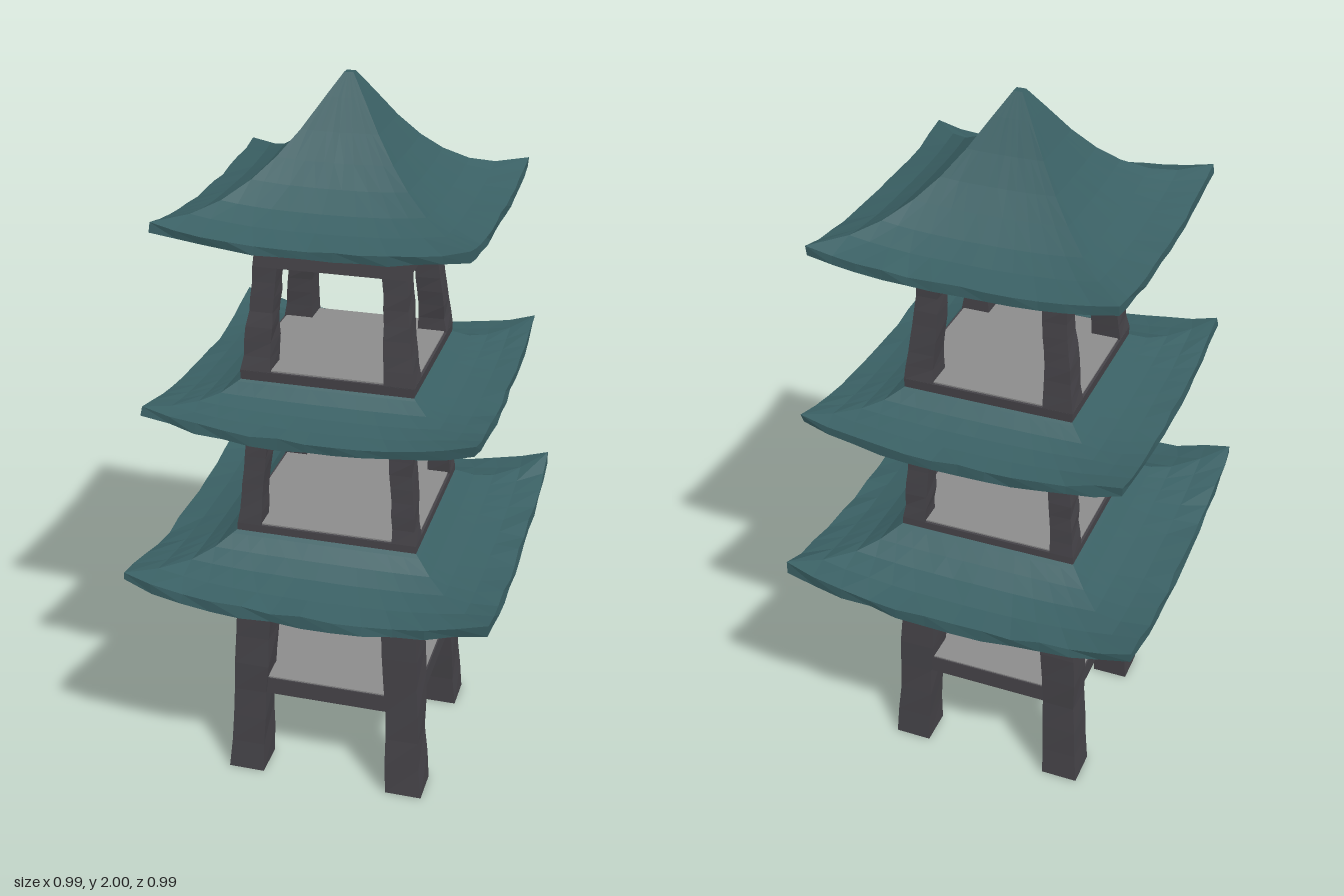
import * as THREE from 'three';

// repeatable noise in -1..1 from a position
function noise(x, y, z) {
  const s = Math.sin(Math.round(x * 997) * 12.9898 + Math.round(y * 991) * 78.233 + Math.round(z * 983) * 37.719) * 43758.5453;
  return (s - Math.floor(s)) * 2 - 1;
}

const turn = [
  (x, z) => [x, z],
  (x, z) => [z, -x],
  (x, z) => [-x, -z],
  (x, z) => [-z, x],
];

// Square roof shell from a profile of [half width, height], corners swept upward
function roofGeometry(profile, lift, thickness, rough) {
  const outer = profile[profile.length - 1][0];
  const inner = profile[0][0];
  const under = profile.filter(p => p[0] > 0.1).map(([h, y]) => [h, y - thickness]).reverse();
  const rings = [...profile, ...under];
  const N = 12;
  const point = ([h, y], t, k) => {
    const r = Math.max(0, (h - inner) / (outer - inner));
    const [x, z] = turn[k](t * h, h);
    const eave = r > 0.99 ? rough : rough * 0.25 * r;
    const n = noise(x, y, z) * eave;
    const s = 1 - Math.abs(n) / outer;
    return [x * s, y + lift * r * r * Math.pow(Math.abs(t), 2.6) + n * 0.6, z * s];
  };
  const pos = [];
  for (let k = 0; k < 4; k++) {
    for (let i = 0; i < rings.length - 1; i++) {
      for (let j = 0; j < N; j++) {
        const t0 = -1 + (2 * j) / N, t1 = -1 + (2 * (j + 1)) / N;
        const a = point(rings[i], t0, k), b = point(rings[i + 1], t0, k);
        const c = point(rings[i + 1], t1, k), d = point(rings[i], t1, k);
        pos.push(...a, ...b, ...c);
        if (rings[i][0] > 0) pos.push(...a, ...c, ...d);
      }
    }
  }
  const g = new THREE.BufferGeometry();
  g.setAttribute('position', new THREE.Float32BufferAttribute(pos, 3));
  g.computeVertexNormals();
  return g;
}

// Square block tapering from half width h0 at y0 to h1 at y1
function blockGeometry(y0, y1, h0, h1) {
  const g = new THREE.BoxGeometry(2, 1, 2);
  const p = g.attributes.position;
  for (let i = 0; i < p.count; i++) {
    const v = p.getY(i) + 0.5;
    const h = h0 + (h1 - h0) * v;
    p.setXYZ(i, p.getX(i) * h, y0 + (y1 - y0) * v, p.getZ(i) * h);
  }
  g.computeVertexNormals();
  return g;
}

// Leaning corner post with worn edges
function postGeometry(t, sx, sz) {
  const g = new THREE.BoxGeometry(1, 1, 1, 1, 7, 1);
  const p = g.attributes.position;
  for (let i = 0; i < p.count; i++) {
    const v = p.getY(i) + 0.5;
    const y = t.y0 + (t.y1 - t.y0) * v;
    const out = t.out[0] + (t.out[1] - t.out[0]) * v;
    const inn = t.inn[0] + (t.inn[1] - t.inn[0]) * v;
    const mid = (out + inn) / 2;
    let x = sx * (inn + (p.getX(i) * sx + 0.5) * (out - inn));
    let z = sz * (inn + (p.getZ(i) * sz + 0.5) * (out - inn));
    if (v > 0.05 && v < 0.95) {
      const wear = 0.14 * Math.abs(noise(x, y, z));
      x += (sx * mid - x) * wear;
      z += (sz * mid - z) * wear;
    }
    p.setXYZ(i, x, y, z);
  }
  g.computeVertexNormals();
  return g;
}

export function createModel() {
  const mat = (name, color) => {
    const m = new THREE.MeshStandardMaterial({ color, flatShading: true });
    m.name = name;
    return m;
  };
  const roofMat = mat('teal roof', 0x3a6064);
  const frameMat = mat('dark frame', 0x454348);
  const floorMat = mat('grey floor', 0x8c8c8c);

  const model = new THREE.Group();
  model.name = 'pagoda';
  const body = new THREE.Group();
  body.name = 'tower';
  body.position.set(-0.005, 0, -0.005);
  model.add(body);
  const add = (name, geometry, material) => {
    const m = new THREE.Mesh(geometry, material);
    m.name = name;
    body.add(m);
    return m;
  };

  // Corner posts of the three storeys
  const tiers = [
    { name: 'lower', y0: 0, y1: 0.62, out: [0.2875, 0.257], inn: [0.183, 0.152] },
    { name: 'middle', y0: 0.805, y1: 1.08, out: [0.25, 0.228], inn: [0.183, 0.162] },
    { name: 'upper', y0: 1.255, y1: 1.535, out: [0.234, 0.203], inn: [0.152, 0.138] },
  ];
  for (const t of tiers)
    for (const sx of [-1, 1])
      for (const sz of [-1, 1])
        add(t.name + 'Post', postGeometry(t, sx, sz), frameMat);

  // Solid floors and beams: [name, bottom, top, half width below, half width above]
  const blocks = [
    ['lowerFloorSlab', 0.26, 0.31, 0.258, 0.256],
    ['lowerBeam', 0.62, 0.805, 0.257, 0.25],
    ['middleBeam', 1.08, 1.257, 0.228, 0.234],
    ['upperBeam', 1.535, 1.72, 0.203, 0.183],
  ];
  for (const [name, y0, y1, h0, h1] of blocks) add(name, blockGeometry(y0, y1, h0, h1), frameMat);

  // Thin pale floor plates
  for (const [name, y, h] of [['lowerFloor', 0.31, 0.252], ['middleFloor', 0.805, 0.243], ['upperFloor', 1.257, 0.227]])
    add(name, blockGeometry(y, y + 0.004, h, h), floorMat);

  // Skirt roofs and the pointed top roof
  add('lowerRoof', roofGeometry(
    [[0.235, 0.795], [0.262, 0.776], [0.3, 0.745], [0.35, 0.718], [0.42, 0.699], [0.497, 0.69]], 0.062, 0.03, 0.009), roofMat);
  add('middleRoof', roofGeometry(
    [[0.215, 1.245], [0.24, 1.225], [0.275, 1.2], [0.32, 1.183], [0.375, 1.172], [0.436, 1.167]], 0.052, 0.027, 0.007), roofMat);
  add('topRoof', roofGeometry(
    [[0, 2], [0.012, 2], [0.05, 1.945], [0.1, 1.87], [0.15, 1.806], [0.2, 1.755], [0.26, 1.709], [0.32, 1.68], [0.4, 1.662]],
    0.034, 0.024, 0.005), roofMat);

  return model;
}
